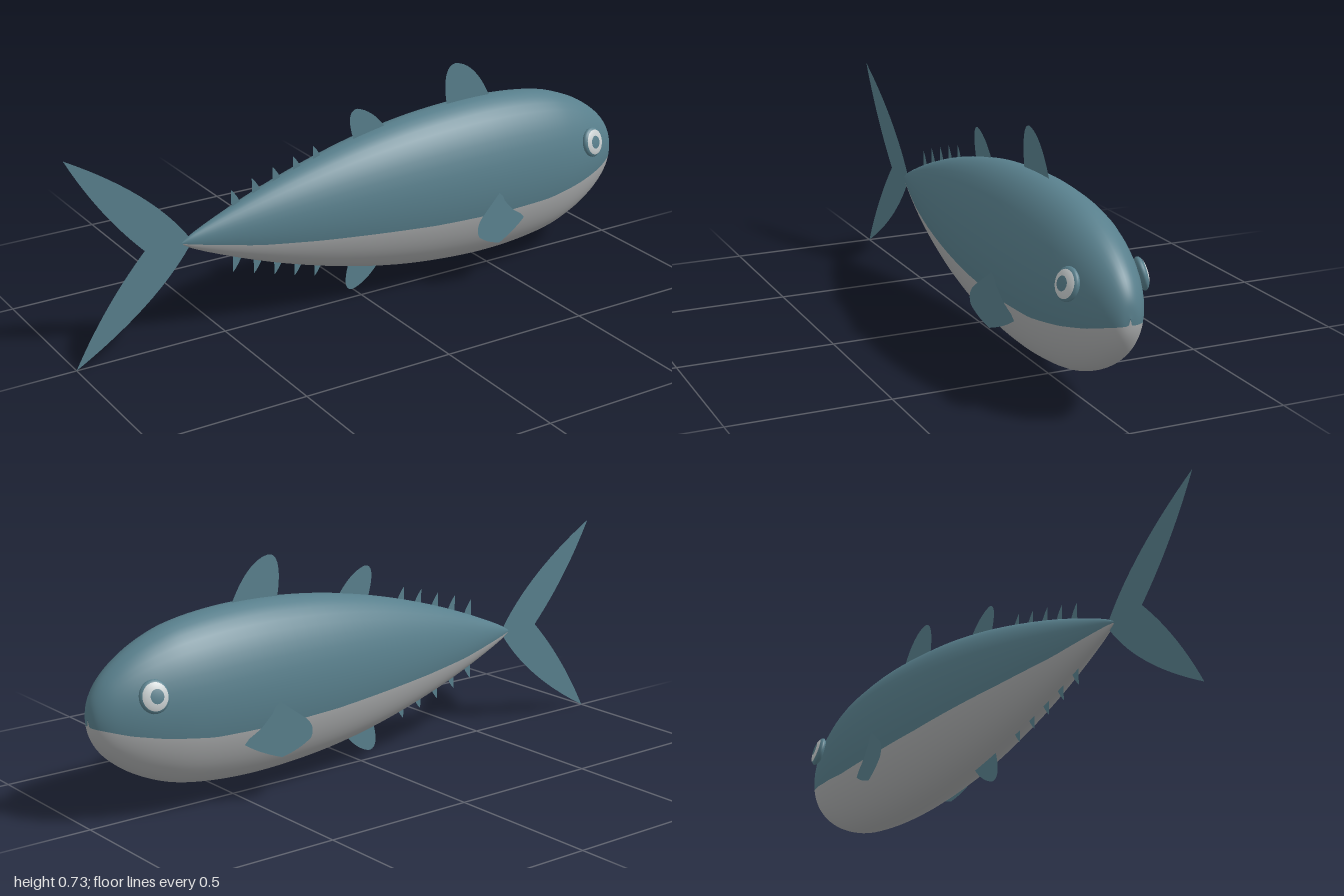
import * as THREE from 'three';

const AXIS = 0.332; // height of the body centre line

function material(name, color, side = THREE.FrontSide) {
  const m = new THREE.MeshStandardMaterial({ color, side });
  m.name = name;
  return m;
}

// Smooth curve through [x, value] pairs, sampled by x
function curveThrough(pairs) {
  const curve = new THREE.CatmullRomCurve3(pairs.map(([x, y]) => new THREE.Vector3(x, y, 0)), false, 'centripetal');
  return (t) => curve.getPoint(t);
}

// Linear interpolation in [x, value] pairs
function lookup(pairs, x) {
  let i = 1;
  while (i < pairs.length - 1 && pairs[i][0] < x) i++;
  const [x0, a] = pairs[i - 1], [x1, b] = pairs[i];
  return a + (b - a) * THREE.MathUtils.clamp((x - x0) / (x1 - x0), 0, 1);
}

// Elliptical sections along x; each ring is split where back meets belly
function bodyGeometry() {
  const profile = curveThrough([[-0.635, 0.004], [-0.6, 0.025], [-0.4, 0.107], [-0.2, 0.172], [0, 0.222],
    [0.2, 0.255], [0.43, 0.27], [0.6, 0.262], [0.72, 0.242], [0.8, 0.214], [0.86, 0.184], [0.91, 0.15],
    [0.95, 0.113], [0.975, 0.077], [0.988, 0.044], [0.993, 0.001]]);
  const seam = [[-0.63, 0.33], [-0.4, 0.292], [-0.2, 0.275], [0, 0.263], [0.2, 0.251], [0.43, 0.245],
    [0.65, 0.248], [0.8, 0.268], [0.9, 0.288], [0.96, 0.305], [0.99, 0.312]];
  const rings = 72, half = 24, around = half * 2;
  const position = [], back = [], belly = [];
  for (let i = 0; i <= rings; i++) {
    const { x, y: h } = profile(i / rings);
    const s = Math.asin(THREE.MathUtils.clamp((lookup(seam, x) - AXIS) / h, -0.9, 0.9));
    for (let j = 0; j < around; j++) {
      const a = j < half
        ? s + (Math.PI - 2 * s) * j / half
        : Math.PI - s + (Math.PI + 2 * s) * (j - half) / half;
      position.push(x, AXIS + h * Math.sin(a), 0.572 * h * Math.cos(a));
      if (i === rings) continue;
      const p = i * around + j, q = i * around + (j + 1) % around;
      (j < half ? back : belly).push(p, p + around, q, q, p + around, q + around);
    }
  }
  const g = new THREE.BufferGeometry();
  g.setAttribute('position', new THREE.Float32BufferAttribute(position, 3));
  g.setIndex([...back, ...belly]);
  g.addGroup(0, back.length, 0);
  g.addGroup(back.length, belly.length, 1);
  g.computeVertexNormals();
  return g;
}

// Part of an eye lens around its +z pole
function lens(angle, grow) {
  return new THREE.SphereGeometry(1, 28, 16, 0, Math.PI * 2, 0, angle)
    .rotateX(Math.PI / 2).scale(0.046 * grow, 0.05 * grow, 0.018 * grow);
}

export function createModel() {
  const model = new THREE.Group();
  model.name = 'fish';
  const skin = material('blue grey skin', 0x587f8c);
  const fin = material('blue grey fin', 0x587f8c, THREE.DoubleSide);
  fin.color.copy(skin.color);
  const pale = material('pale belly', 0xabadae);
  const white = material('eye white', 0xc9cfd0);

  function add(name, geometry, mat, parent = model) {
    const mesh = new THREE.Mesh(geometry, mat);
    mesh.name = name;
    parent.add(mesh);
    return mesh;
  }
  const flat = (shape) => new THREE.ShapeGeometry(shape, 14);

  add('body', bodyGeometry(), [skin, pale]);

  // Forked tail
  const tail = new THREE.Shape();
  tail.moveTo(-0.61, 0.345);
  tail.quadraticCurveTo(-0.73, 0.52, -1, 0.67);
  tail.quadraticCurveTo(-0.9, 0.48, -0.76, 0.336);
  tail.quadraticCurveTo(-0.9, 0.19, -1, 0.003);
  tail.quadraticCurveTo(-0.73, 0.15, -0.61, 0.32);
  add('tailFin', flat(tail), fin);

  // Front dorsal fin
  const dorsal = new THREE.Shape();
  dorsal.moveTo(0.33, 0.57);
  dorsal.bezierCurveTo(0.31, 0.65, 0.31, 0.73, 0.355, 0.73);
  dorsal.bezierCurveTo(0.41, 0.725, 0.46, 0.67, 0.5, 0.58);
  add('frontDorsalFin', flat(dorsal), fin);

  // Rear dorsal fin and the anal fin below it
  const rear = new THREE.Shape();
  rear.moveTo(-0.02, 0.52);
  rear.bezierCurveTo(-0.05, 0.6, -0.05, 0.645, -0.015, 0.645);
  rear.bezierCurveTo(0.03, 0.635, 0.08, 0.59, 0.11, 0.53);
  add('rearDorsalFin', flat(rear), fin);
  const anal = add('analFin', flat(rear), fin);
  anal.scale.y = -1;
  anal.position.set(-0.018, 0.677, 0);

  // Finlets along the top and bottom of the tail stalk
  for (let i = 0; i < 5; i++) {
    const x = -0.463 + i * 0.0725;
    const tip = 0.468 + i * 0.0235 - i * i * 0.0006;
    for (const s of [1, -1]) {
      const y = (v) => AXIS + 0.001 + s * (v - AXIS);
      const finlet = new THREE.Shape();
      finlet.moveTo(x - 0.003, y(tip - 0.1));
      finlet.lineTo(x - 0.003, y(tip));
      finlet.quadraticCurveTo(x + 0.018, y(tip - 0.02), x + 0.034, y(tip - 0.06));
      finlet.lineTo(x + 0.034, y(tip - 0.1));
      add(s > 0 ? 'topFinlet' : 'bottomFinlet', flat(finlet), fin);
    }
  }

  // Side fin, leaning outwards towards the back
  const side = new THREE.Shape();
  side.moveTo(0.43, 0.32);
  side.lineTo(0.355, 0.262);
  side.bezierCurveTo(0.325, 0.24, 0.325, 0.215, 0.335, 0.195);
  side.quadraticCurveTo(0.37, 0.165, 0.43, 0.148);
  side.quadraticCurveTo(0.5, 0.17, 0.547, 0.203);
  side.lineTo(0.505, 0.25);
  const sideGeometry = flat(side);
  const p = sideGeometry.attributes.position;
  for (let i = 0; i < p.count; i++) {
    p.setZ(i, 0.156 - 0.205 * (p.getX(i) - 0.43) - 0.038 * (p.getY(i) - 0.32));
  }
  sideGeometry.computeVertexNormals();

  for (const s of [1, -1]) {
    const half = new THREE.Group();
    half.name = s > 0 ? 'frontSide' : 'backSide';
    half.scale.z = s;
    model.add(half);
    add('sideFin', sideGeometry, fin, half);

    // Eye lens with white and iris laid over it
    const eye = new THREE.Group();
    eye.name = 'eye';
    eye.position.set(0.84, 0.402, 0.115);
    eye.rotation.set(-0.25, 0.25, 0);
    half.add(eye);
    add('eyeRim', lens(Math.PI, 1), skin, eye);
    add('eyeWhite', lens(0.95, 1.03), white, eye);
    add('iris', lens(0.42, 1.07), skin, eye).position.x = -0.004;
  }
  return model;
}
